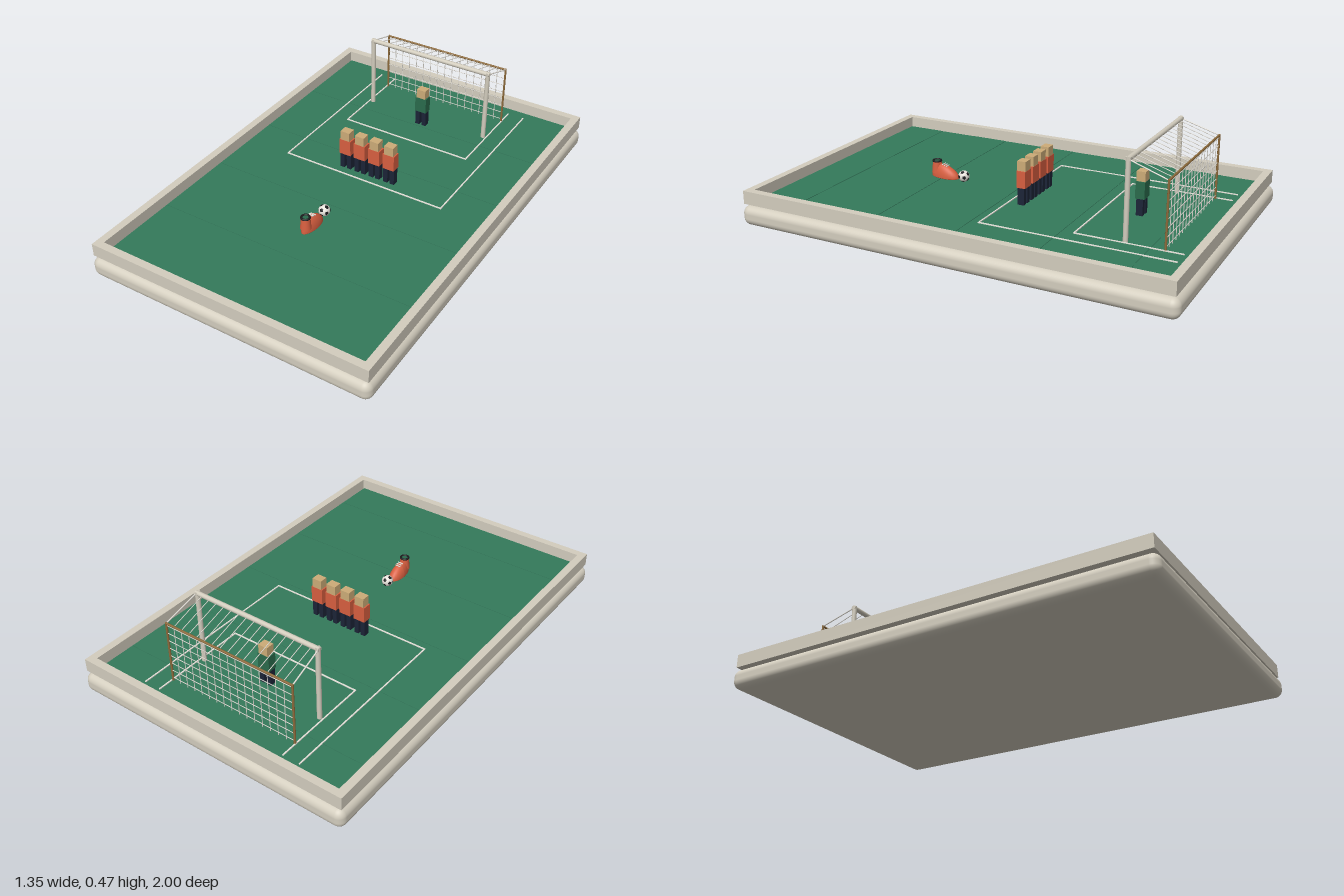
import * as THREE from 'three';
import { RoundedBoxGeometry } from 'three/addons/geometries/RoundedBoxGeometry.js';

const mat = (name, color) => new THREE.MeshStandardMaterial({ name, color });
const M = {
  cream: mat('cream', 0xd3cdbe),
  grass: mat('grass green', 0x347a5b),
  white: mat('white', 0xe8e4dc),
  bronze: mat('bronze', 0x8f6c3c),
  red: mat('shirt red', 0xd85f40),
  keeper: mat('keeper green', 0x2a6b4c),
  navy: mat('navy', 0x1c2437),
  skin: mat('skin', 0xcdac78),
  black: mat('black', 0x1c1c1e),
};
const FIELD = 0.11; // top of the pitch

function add(parent, name, geo, material, x = 0, y = 0, z = 0) {
  const m = new THREE.Mesh(geo, material);
  m.name = name;
  m.position.set(x, y, z);
  parent.add(m);
  return m;
}
const box = (parent, name, material, w, h, d, x, y, z) =>
  add(parent, name, new THREE.BoxGeometry(w, h, d), material, x, y, z);

// Round bar between two points
function bar(parent, name, material, a, b, r, sides = 12) {
  const p = new THREE.Vector3(...a), q = new THREE.Vector3(...b);
  const m = add(parent, name, new THREE.CylinderGeometry(r, r, p.distanceTo(q), sides), material);
  m.position.copy(p).add(q).multiplyScalar(0.5);
  m.quaternion.setFromUnitVectors(new THREE.Vector3(0, 1, 0), q.sub(p).normalize());
  return m;
}
function group(parent, name) {
  const g = new THREE.Group();
  g.name = name;
  parent.add(g);
  return g;
}

// Rounded plinth, pitch with raised mowing stripes, rail around it
function addPitch(root) {
  add(root, 'plinth', new RoundedBoxGeometry(1.35, 0.09, 2, 5, 0.035), M.cream, 0, 0.045, 0);
  box(root, 'pitch', M.grass, 1.256, 0.027, 1.9, 0, 0.0945, 0);
  for (let i = 0; i < 5; i++)
    box(root, 'mowingStripe', M.grass, 1.25, 0.004, 0.19, 0, 0.108, 0.855 - i * 0.38);
  const rails = group(root, 'rails');
  for (const s of [-1, 1]) {
    box(rails, 'sideRail', M.cream, 0.035, 0.06, 1.97, s * 0.6475, 0.13, 0);
    box(rails, 'endRail', M.cream, 1.26, 0.06, 0.035, 0, 0.13, s * 0.9675);
  }
}

// Pitch markings: two open boxes in front of the goal
function addMarkings(root) {
  const g = group(root, 'markings');
  for (const [x, zFront] of [[0.405, -0.04], [0.325, -0.435]]) {
    const len = zFront + 0.9;
    for (const s of [-1, 1]) box(g, 'sideLine', M.white, 0.006, 0.004, len, s * x, FIELD + 0.001, zFront - len / 2);
    box(g, 'frontLine', M.white, 2 * x + 0.006, 0.004, 0.006, 0, FIELD + 0.001, zFront);
  }
}

// Goal frame, rear support and net
function addGoal(root) {
  const g = group(root, 'goal');
  const zf = -0.65, zb = -0.822, top = 0.455, back = 0.4;
  for (const s of [-1, 1]) {
    bar(g, 'goalPost', M.cream, [s * 0.308, 0.1, zf], [s * 0.308, 0.463, zf], 0.011);
    bar(g, 'rearPost', M.bronze, [s * 0.322, 0.1, zb], [s * 0.322, back + 0.004, zb], 0.005, 8);
    bar(g, 'topStay', M.white, [s * 0.312, top, zf], [s * 0.322, back, zb], 0.003, 6);
  }
  bar(g, 'crossbar', M.cream, [-0.317, top, zf], [0.317, top, zf], 0.011);
  bar(g, 'rearBar', M.bronze, [-0.325, back, zb], [0.325, back, zb], 0.005, 8);
  const net = group(g, 'net');
  for (let i = -7; i <= 7; i++) {
    const x = i * 0.04;
    bar(net, 'roofStrand', M.white, [x, top, zf], [x, back, zb], 0.0018, 5);
    bar(net, 'backStrand', M.white, [x, back, zb], [x, FIELD, zb], 0.0018, 5);
  }
  for (let i = 0; i < 8; i++) {
    const y = 0.39 - i * 0.038;
    bar(net, 'crossStrand', M.white, [-0.32, y, zb], [0.32, y, zb], 0.0018, 5);
  }
}

// Blocky standing player
function addPlayer(root, name, shirt, x, z) {
  const g = group(root, name);
  g.position.set(x, 0, z);
  for (const s of [-1, 1]) box(g, 'leg', M.navy, 0.022, 0.08, 0.03, s * 0.017, 0.148, 0);
  box(g, 'torso', shirt, 0.058, 0.076, 0.042, 0, 0.223, 0);
  box(g, 'head', M.skin, 0.046, 0.044, 0.04, 0, 0.283, 0);
}

// White ball with a dark patch at each icosahedron corner
function addBall(root) {
  const g = group(root, 'ball');
  const r = 0.026;
  g.position.set(0, FIELD + r, 0.265);
  add(g, 'ballSkin', new THREE.SphereGeometry(r, 24, 16), M.white);
  const phi = (1 + Math.sqrt(5)) / 2;
  for (const a of [-1, 1]) for (const b of [-phi, phi])
    for (const v of [[0, a, b], [a, b, 0], [b, 0, a]]) {
      const patch = add(g, 'ballPatch', new THREE.SphereGeometry(r * 1.02, 5, 2, 0, Math.PI * 2, 0, 0.36), M.black);
      patch.quaternion.setFromUnitVectors(new THREE.Vector3(0, 1, 0), new THREE.Vector3(...v).normalize());
    }
}

// Boot pointing at the ball, its height rising from toe to heel
function addBoot(root) {
  const g = group(root, 'boot');
  g.position.set(0, FIELD, 0.362);
  const geo = new THREE.SphereGeometry(1, 24, 16);
  const p = geo.attributes.position;
  for (let i = 0; i < p.count; i++) {
    const x = p.getX(i), y = p.getY(i), z = p.getZ(i);
    const h = 0.058 + 0.018 * z;
    p.setXYZ(i, x * 0.031 * (1 - 0.12 * z), y > 0 ? 0.008 + y * h : 0.008 + y * 0.008, z * 0.07);
  }
  geo.computeVertexNormals();
  add(g, 'bootUpper', geo, M.red);
  add(g, 'ankle', new THREE.CylinderGeometry(0.02, 0.025, 0.055, 20), M.red, 0, 0.052, 0.044);
  const collar = add(g, 'collar', new THREE.TorusGeometry(0.018, 0.005, 8, 24), M.black, 0, 0.08, 0.044);
  collar.rotation.x = Math.PI / 2;
  add(g, 'opening', new THREE.CylinderGeometry(0.017, 0.017, 0.003, 20), M.keeper, 0, 0.079, 0.044);
  for (let i = 0; i < 3; i++)
    box(g, 'lace', M.white, 0.026, 0.004, 0.004, 0, 0.062 + i * 0.003, -0.012 + i * 0.01);
}

export function createModel() {
  const root = new THREE.Group();
  root.name = 'freeKickScene';
  addPitch(root);
  addMarkings(root);
  addGoal(root);
  for (let i = 0; i < 4; i++) addPlayer(root, 'wallPlayer', M.red, (i - 1.5) * 0.076, -0.1);
  addPlayer(root, 'goalkeeper', M.keeper, 0, -0.6);
  addBall(root);
  addBoot(root);
  return root;
}
